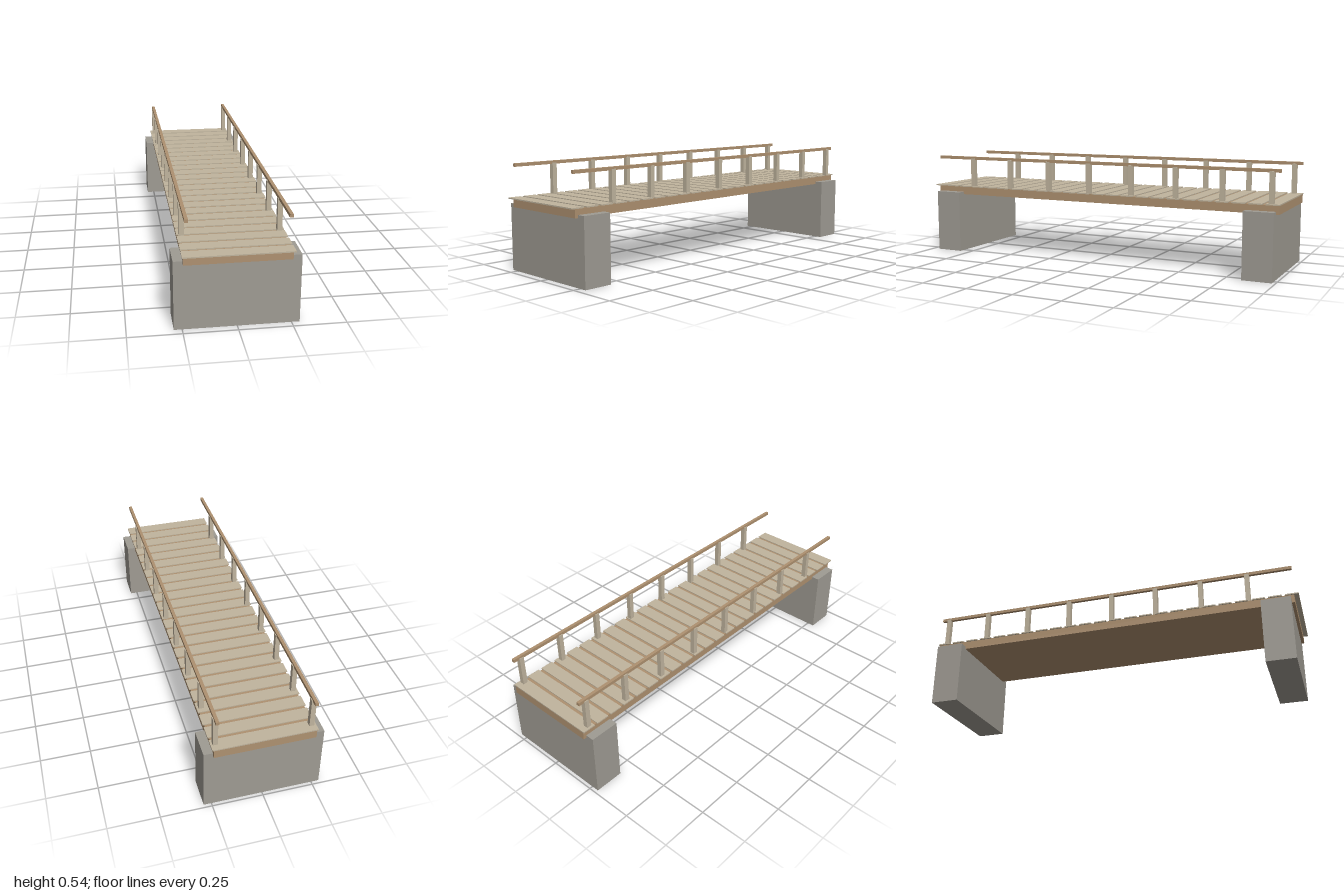
import * as THREE from 'three';

export function createModel() {
  const model = new THREE.Group();
  model.name = 'footbridge';

  const material = (name, color) => {
    const m = new THREE.MeshStandardMaterial({ color });
    m.name = name;
    return m;
  };
  const concrete = material('concrete', 0x9f9b93);
  const timber = material('timber', 0xae9170);
  const paleWood = material('paleWood', 0xc0b49e);

  // Box given by its [min, max] extents along each axis
  const box = (name, mat, [x0, x1], [y0, y1], [z0, z1]) => {
    const mesh = new THREE.Mesh(new THREE.BoxGeometry(x1 - x0, y1 - y0, z1 - z0), mat);
    mesh.position.set((x0 + x1) / 2, (y0 + y1) / 2, (z0 + z1) / 2);
    mesh.name = name;
    model.add(mesh);
  };

  // Concrete abutments at both ends
  box('frontAbutment', concrete, [-0.288, 0.288], [0, 0.335], [0.813, 0.962]);
  box('backAbutment', concrete, [-0.288, 0.288], [0, 0.335], [-0.983, -0.834]);

  // Solid deck beam
  box('deckBeam', timber, [-0.244, 0.244], [0.321, 0.365], [-0.999, 0.977]);

  // Walking planks with narrow gaps
  const plankCount = 24;
  const plankWidth = 0.067;
  const pitch = (2 - plankWidth) / (plankCount - 1);
  for (let i = 0; i < plankCount; i++) {
    const z = -1 + i * pitch;
    box('plank', paleWood, [-0.251, 0.251], [0.364, 0.37], [z, z + plankWidth]);
  }

  // Railings: posts and a handrail on each side
  for (const side of [-1, 1]) {
    const x = side * 0.2287;
    const label = side > 0 ? 'left' : 'right';
    for (let i = 0; i < 8; i++) {
      const z = -0.957 + i * 0.2436;
      box(label + 'Post', paleWood, [x - 0.012, x + 0.012], [0.365, 0.525], [z - 0.012, z + 0.012]);
    }
    box(label + 'Handrail', timber, [x - 0.008, x + 0.008], [0.519, 0.535], [-0.999, 0.977]);
  }

  return model;
}
